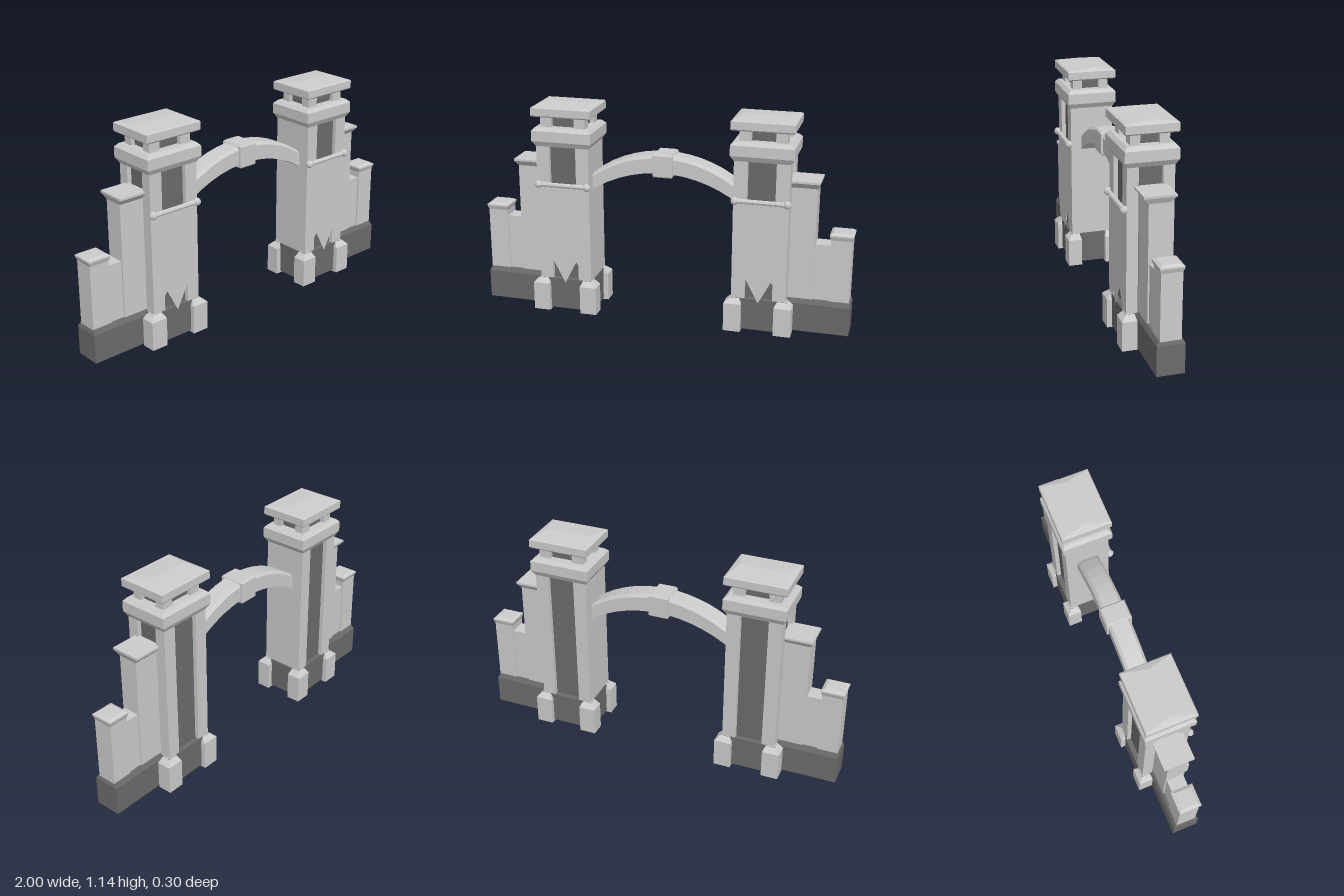
import * as THREE from 'three';

const stone = new THREE.MeshStandardMaterial({ color: 0xcccccc, flatShading: true });
const dark = new THREE.MeshStandardMaterial({ color: 0x6b6b6b, flatShading: true });
const cloth = new THREE.MeshStandardMaterial({ color: 0xcccccc, flatShading: true, side: THREE.DoubleSide });

// Skins a list of rings (equal point counts, counter-clockwise seen against the travel direction), with end caps.
function skin(rings) {
  const n = rings[0].length, pos = rings.flat(2), idx = [];
  for (let i = 0; i < rings.length - 1; i++) {
    for (let j = 0; j < n; j++) {
      const a = i * n + j, b = i * n + (j + 1) % n;
      idx.push(a, b, b + n, a, b + n, a + n);
    }
  }
  const top = (rings.length - 1) * n;
  for (let j = 1; j < n - 1; j++) idx.push(0, j + 1, j, top, top + j, top + j + 1);
  const geo = new THREE.BufferGeometry();
  geo.setAttribute('position', new THREE.Float32BufferAttribute(pos, 3));
  geo.setIndex(idx);
  const flat = geo.toNonIndexed();
  flat.computeVertexNormals();
  return flat;
}

// Stack of rectangles [y, x0, x1, z0, z1]; side = -1 mirrors it in x.
function stack(levels, side = 1) {
  return skin(levels.map(([y, a, b, z0, z1]) => {
    const [x0, x1] = side > 0 ? [a, b] : [-b, -a];
    return [[x0, y, z1], [x1, y, z1], [x1, y, z0], [x0, y, z0]];
  }));
}

// Centred rectangle level: y, half width, half depth, x centre
const lv = (y, hx, hz, cx = 0) => [y, cx - hx, cx + hx, -hz, hz];

function add(parent, name, geometry, material = stone) {
  const mesh = new THREE.Mesh(geometry, material);
  mesh.name = name;
  parent.add(mesh);
  return mesh;
}

// Tower in local coordinates, +x pointing away from the gate before mirroring
function makeTower(side) {
  const g = new THREE.Group();
  g.name = side > 0 ? 'leftTower' : 'rightTower';
  const put = (name, levels, mat) => add(g, name, stack(levels, side), mat);

  // Dark plinth between four chamfered corner feet
  put('plinth', [lv(0.01, 0.15, 0.122), lv(0.183, 0.15, 0.122)], dark);
  for (const sx of [-1, 1]) {
    for (const sz of [-1, 1]) {
      const corner = (y, xi, xo, zi, zo) => [y,
        Math.min(sx * xi, sx * xo), Math.max(sx * xi, sx * xo),
        Math.min(sz * zi, sz * zo), Math.max(sz * zi, sz * zo)];
      put('cornerFoot', [corner(0, 0.087, 0.178, 0.07, 0.147), corner(0.155, 0.087, 0.178, 0.07, 0.147),
        corner(0.184, 0.1, 0.148, 0.078, 0.12)]);
      // Lantern posts
      put('lanternPost', [corner(1.01, 0.062, 0.123, 0.048, 0.097), corner(1.09, 0.062, 0.123, 0.048, 0.097)]);
      // Outer shaft pillars
      if (sx > 0) put('shaftPillar', [corner(0.17, 0.073, 0.144, 0.06, 0.118), corner(0.93, 0.073, 0.144, 0.06, 0.118)]);
    }
  }
  // Solid inner face of the shaft and recessed dark panels
  put('shaftInnerWall', [[0.17, -0.144, -0.073, -0.118, 0.118], [0.93, -0.144, -0.073, -0.118, 0.118]]);
  put('shaftPanels', [lv(0.17, 0.12, 0.095), lv(0.93, 0.12, 0.095)], dark);

  // Collar, lantern core and low hipped cap
  put('collar', [lv(0.925, 0.145, 0.119), lv(0.953, 0.163, 0.134), lv(1.008, 0.163, 0.134), lv(1.026, 0.145, 0.118)]);
  put('lanternCore', [lv(1.01, 0.1, 0.075), lv(1.085, 0.1, 0.075)], dark);
  put('cap', [lv(1.083, 0.156, 0.126), lv(1.09, 0.163, 0.132), lv(1.13, 0.163, 0.132),
    lv(1.135, 0.156, 0.126), lv(1.145, 0.125, 0.003)]);

  // Banner with a zigzag hem, hung from a rod with round ends
  const hem = [[-0.115, 0.717], [-0.115, 0.22], [-0.065, 0.29], [0, 0.165], [0.065, 0.29], [0.115, 0.22], [0.115, 0.717]];
  const shape = new THREE.Shape(hem.map(p => new THREE.Vector2(...p)));
  add(g, 'banner', new THREE.ShapeGeometry(shape), cloth).position.z = 0.128;
  const rod = add(g, 'bannerRod', new THREE.CylinderGeometry(0.013, 0.013, 0.27, 8));
  rod.rotation.z = Math.PI / 2;
  rod.position.set(0, 0.718, 0.128);
  for (const x of [-0.135, 0.135]) {
    add(g, 'rodEnd', new THREE.SphereGeometry(0.021, 8, 6)).position.set(x, 0.718, 0.128);
  }
  g.position.x = side * 0.53;
  return g;
}

// Stepped side wall, from the tower outwards
function makeWall(side) {
  const g = new THREE.Group();
  g.name = side > 0 ? 'leftWall' : 'rightWall';
  const put = (name, levels, mat) => add(g, name, stack(levels, side), mat);
  put('wallBase', [[0.01, 0.64, 1, -0.07, 0.07], [0.165, 0.64, 1, -0.07, 0.07], [0.188, 0.64, 0.99, -0.058, 0.058]], dark);
  put('tallWall', [[0.17, 0.66, 0.805, -0.053, 0.053], [0.79, 0.66, 0.805, -0.053, 0.053],
    [0.82, 0.66, 0.82, -0.08, 0.08], [0.831, 0.66, 0.82, -0.08, 0.08]]);
  put('lowWall', [[0.17, 0.79, 0.89, -0.045, 0.045], [0.492, 0.79, 0.89, -0.045, 0.045]]);
  put('endPost', [lv(0.17, 0.054, 0.053, 0.938), lv(0.525, 0.054, 0.053, 0.938),
    lv(0.545, 0.061, 0.06, 0.938), lv(0.553, 0.061, 0.06, 0.938), lv(0.563, 0.045, 0.044, 0.938)]);
  return g;
}

// Arch with chamfered upper edges, swept between the towers
function makeArch() {
  const g = new THREE.Group();
  g.name = 'archway';
  const rings = [];
  const steps = 14, half = 0.42;
  const arc = (x, r, top) => top - r + Math.sqrt(r * r - x * x);
  for (let i = 0; i <= steps; i++) {
    const x = -half + 2 * half * i / steps;
    const hi = arc(x, 0.655, 0.903), lo = arc(x, 0.69, 0.808);
    rings.push([[x, lo, 0.058], [x, lo, -0.058], [x, hi - 0.016, -0.058],
      [x, hi, -0.044], [x, hi, 0.044], [x, hi - 0.016, 0.058]]);
  }
  add(g, 'arch', skin(rings));
  add(g, 'keystone', stack([lv(0.785, 0.046, 0.062), lv(0.792, 0.053, 0.069),
    lv(0.902, 0.053, 0.069), lv(0.912, 0.045, 0.061)]));
  return g;
}

export function createModel() {
  const model = new THREE.Group();
  model.name = 'gate';
  for (const side of [-1, 1]) model.add(makeTower(side), makeWall(side));
  model.add(makeArch());
  return model;
}
